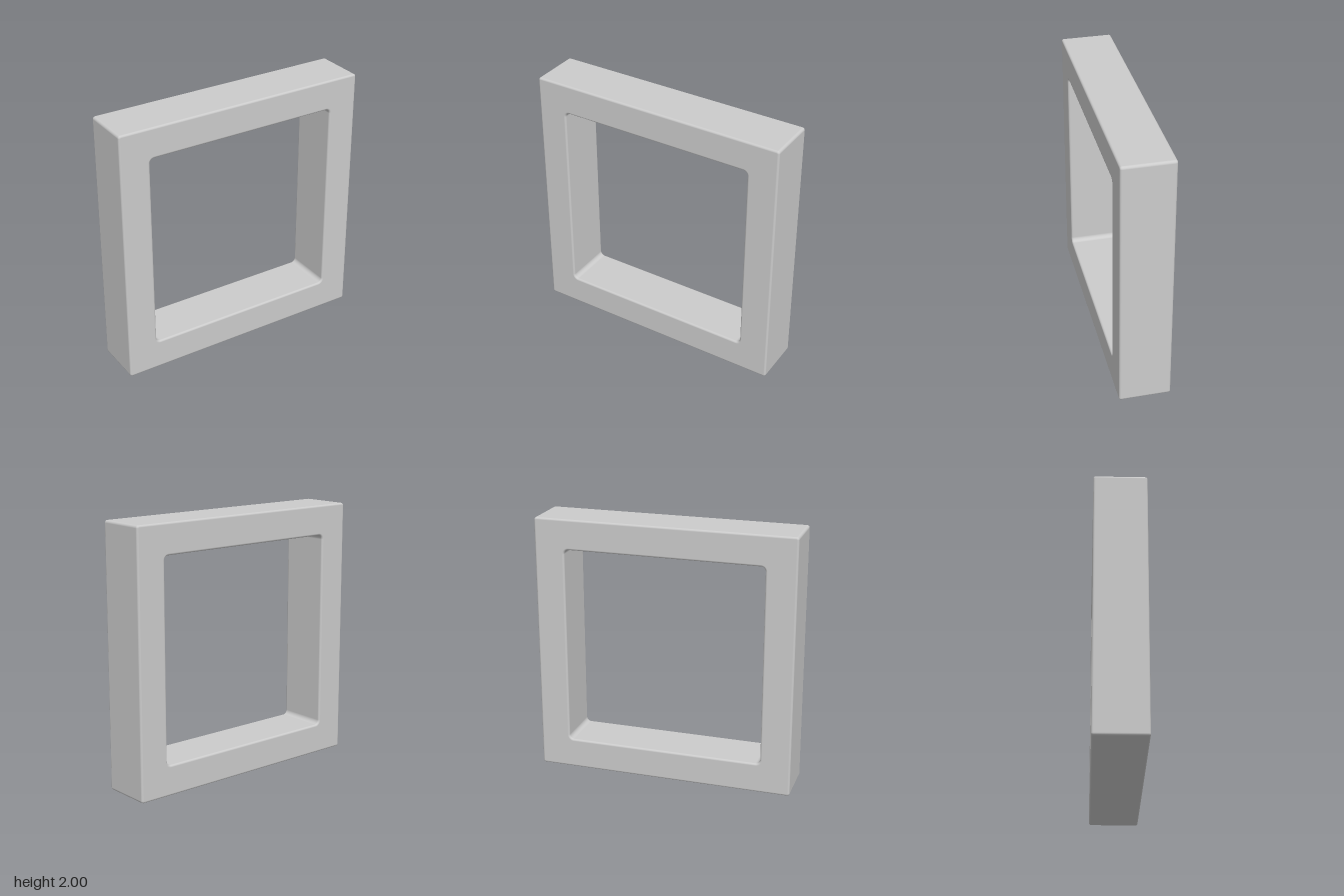
import * as THREE from 'three';

const HALF = 1, HOLE = 0.767, DEPTH = 0.195; // half sizes
const OUTER_R = 0.02, HOLE_R = 0.035, BEVEL = 0.016;

// Rounded square outline centred on the origin
function roundedSquare(path, h, r) {
  const c = h - r, q = Math.PI / 2;
  path.moveTo(h, -c);
  [[c, c], [-c, c], [-c, -c], [c, -c]].forEach(([x, y], i) => {
    path.absarc(x, y, r, i * q, (i + 1) * q, false);
  });
  return path;
}

// Exact normals: flat faces stay flat, bevels and corners blend smoothly
function setSmoothNormals(geometry) {
  const pos = geometry.attributes.position, normal = geometry.attributes.normal;
  const n = new THREE.Vector3();
  for (let i = 0; i < pos.count; i++) {
    const x = pos.getX(i), y = pos.getY(i), z = pos.getZ(i);
    const inner = Math.max(Math.abs(x), Math.abs(y)) < (HALF + HOLE) / 2;
    const core = inner ? HOLE - HOLE_R : HALF - OUTER_R;
    const away = (v) => v - THREE.MathUtils.clamp(v, -core, core);
    const s = Math.min(1, Math.max(0, (Math.abs(z) - DEPTH + BEVEL) / BEVEL));
    n.set(away(x), away(y), 0).normalize();
    n.multiplyScalar((inner ? -1 : 1) * Math.sqrt(1 - s * s));
    n.z = s * Math.sign(z);
    n.normalize();
    normal.setXYZ(i, n.x, n.y, n.z);
  }
}

export function createModel() {
  const group = new THREE.Group();
  group.name = 'squareFrame';

  // Square frame with a rounded opening and softened edges
  const shape = roundedSquare(new THREE.Shape(), HALF, OUTER_R);
  shape.holes.push(roundedSquare(new THREE.Path(), HOLE, HOLE_R));
  const geometry = new THREE.ExtrudeGeometry(shape, {
    depth: 2 * (DEPTH - BEVEL),
    bevelEnabled: true,
    bevelThickness: BEVEL,
    bevelSize: BEVEL,
    bevelOffset: -BEVEL,
    bevelSegments: 4,
    curveSegments: 6,
  });
  geometry.translate(0, 0, BEVEL - DEPTH);
  setSmoothNormals(geometry);
  geometry.translate(0, HALF, 0);

  const frame = new THREE.Mesh(geometry, new THREE.MeshStandardMaterial({ color: 0xcccccc }));
  frame.name = 'frame';
  group.add(frame);
  return group;
}
